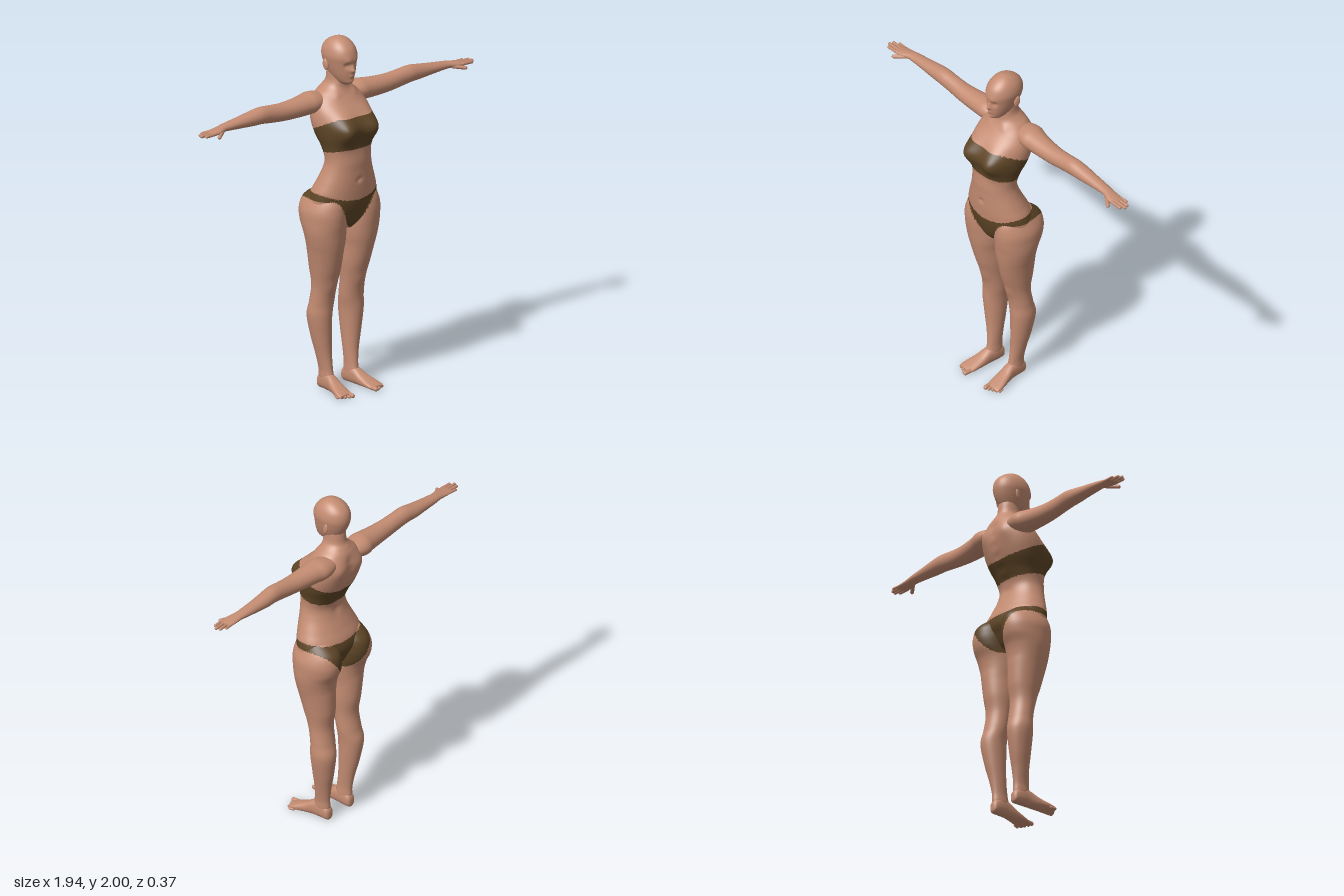
import * as THREE from 'three';

const skin = new THREE.MeshStandardMaterial({ color: 0xc48c72 });
skin.name = 'skin';
const cloth = new THREE.MeshStandardMaterial({ color: 0x5e4526 });
cloth.name = 'brownCloth';

const spline = (a, b, c, d, t) =>
  b + 0.5 * t * (c - a + t * (2 * a - 5 * b + 4 * c - d + t * (3 * (b - c) + d - a)));
const smooth = THREE.MathUtils.smoothstep;

// Smooth closed skin through oval sections [t, centreU, centreV, radiusU, radiusV].
// place(t, u, v) sets the axes; bumps [x, y, z, radius, dx, dy, dz] push the surface softly;
// isCloth(point) picks the faces that take the cloth colour.
function loft(name, rows, place, { segs = 48, steps = 8, power = 2, bumps = [], isCloth } = {}) {
  const pts = [], total = (rows.length - 1) * steps, p = new THREE.Vector3(), c = new THREE.Vector3();
  const bend = (k) => Math.sign(k) * Math.abs(k) ** (2 / power);
  for (let i = 0; i <= total; i++) {
    const k = Math.min(Math.floor(i / steps), rows.length - 2), f = i / steps - k;
    const at = (n) => rows[THREE.MathUtils.clamp(n, 0, rows.length - 1)];
    const [t, cu, cv, ru, rv] = rows[k].map((_, j) =>
      spline(at(k - 1)[j], at(k)[j], at(k + 1)[j], at(k + 2)[j], f));
    const open = i === 0 || i === total ? 0 : 1;
    for (let j = 0; j < segs; j++) {
      const a = (j / segs) * Math.PI * 2;
      p.set(...place(t, cu + open * ru * bend(Math.cos(a)), cv + open * rv * bend(Math.sin(a))));
      c.copy(p);
      for (const [x, y, z, r, dx, dy, dz] of bumps) {
        const w = Math.exp(-((c.x - x) ** 2 + (c.y - y) ** 2 + (c.z - z) ** 2) / (r * r));
        p.x += dx * w; p.y += dy * w; p.z += dz * w;
      }
      pts.push(p.clone());
    }
  }
  const faces = [];
  let volume = 0;
  for (let i = 0; i < total; i++) for (let j = 0; j < segs; j++) {
    const a = i * segs + j, b = i * segs + (j + 1) % segs;
    for (const f of [[a, a + segs, b], [b, a + segs, b + segs]]) {
      faces.push(f);
      volume += pts[f[0]].dot(c.crossVectors(pts[f[1]], pts[f[2]]));
    }
  }
  const bare = [], dressed = [];
  for (const f of faces) {
    if (volume < 0) f.reverse();
    c.copy(pts[f[0]]).add(pts[f[1]]).add(pts[f[2]]).divideScalar(3);
    (isCloth && isCloth(c) ? dressed : bare).push(...f);
  }
  const geo = new THREE.BufferGeometry().setFromPoints(pts);
  geo.setIndex([...bare, ...dressed]);
  geo.addGroup(0, bare.length, 0);
  geo.addGroup(bare.length, dressed.length, 1);
  geo.computeVertexNormals();
  const mesh = new THREE.Mesh(geo, isCloth ? [skin, cloth] : skin);
  mesh.name = name;
  return mesh;
}

// Rounded finger or toe between two points
function digit(name, a, b, r) {
  const from = new THREE.Vector3(...a), dir = new THREE.Vector3(...b).sub(from);
  const mesh = new THREE.Mesh(new THREE.CapsuleGeometry(r, dir.length() - r, 5, 12), skin);
  mesh.position.copy(from).addScaledVector(dir, 0.5);
  mesh.quaternion.setFromUnitVectors(new THREE.Vector3(0, 1, 0), dir.normalize());
  mesh.name = name;
  return mesh;
}

// Upright section [y, centreX, radiusX, frontZ, backZ] to loft row
const upright = ([y, cx, rx, f, b]) => [y, cx, (f + b) / 2, rx, (f - b) / 2];
const both = (x, y, z, r, dx, dy, dz) => [[x, y, z, r, dx, dy, dz], [-x, y, z, r, -dx, dy, dz]];

// Edges of the bandeau top and of the briefs
function clothed({ x, y, z }) {
  const w = Math.abs(x);
  if (y > 1.3) return y < Math.min(1.578, 1.53 + 0.5 * z) && y > 1.375 + 0.2 * z;
  const front = z > -0.02;
  const top = (front ? 1.105 : 1.13) + (front ? 0.045 : 0.02) * Math.min(1, (w / 0.2) ** 2);
  const low = 0.93 + 0.18 * (front ? smooth(w, 0, 0.15) : smooth(w, 0.02, 0.21));
  return y < top && y > low;
}

const torsoRows = [
  [0.925, 0, 0.03, 0.05, -0.05], [0.97, 0, 0.09, 0.088, -0.1], [1.03, 0, 0.175, 0.107, -0.13],
  [1.08, 0, 0.208, 0.118, -0.148], [1.14, 0, 0.202, 0.125, -0.138], [1.2, 0, 0.178, 0.129, -0.11],
  [1.27, 0, 0.15, 0.131, -0.08], [1.33, 0, 0.137, 0.133, -0.072], [1.4, 0, 0.145, 0.125, -0.1],
  [1.47, 0, 0.165, 0.11, -0.138], [1.54, 0, 0.175, 0.1, -0.165], [1.6, 0, 0.17, 0.083, -0.174],
  [1.65, 0, 0.15, 0.05, -0.17], [1.69, 0, 0.115, 0.022, -0.158], [1.72, 0, 0.078, 0.01, -0.142],
  [1.75, 0, 0.058, 0.008, -0.125], [1.8, 0, 0.053, 0, -0.118], [1.84, 0, 0.05, -0.01, -0.11]];
const headRows = [
  [1.738, 0, 0.018, 0.03, -0.03], [1.755, 0, 0.036, 0.055, -0.06], [1.785, 0, 0.053, 0.065, -0.1],
  [1.82, 0, 0.066, 0.069, -0.125], [1.86, 0, 0.077, 0.071, -0.143], [1.9, 0, 0.084, 0.073, -0.15],
  [1.94, 0, 0.077, 0.059, -0.141], [1.97, 0, 0.06, 0.032, -0.115], [1.99, 0, 0.036, 0, -0.078],
  [2, 0, 0.005, -0.03, -0.04]];
const legRows = [
  [1.16, 0.11, 0.07, 0.06, -0.09], [1.1, 0.115, 0.095, 0.1, -0.168], [1.04, 0.12, 0.112, 0.11, -0.186],
  [0.98, 0.12, 0.114, 0.108, -0.178], [0.92, 0.117, 0.113, 0.1, -0.15], [0.86, 0.113, 0.105, 0.092, -0.137],
  [0.8, 0.11, 0.094, 0.08, -0.135], [0.7, 0.103, 0.083, 0.055, -0.13], [0.6, 0.101, 0.071, 0.022, -0.116],
  [0.5, 0.105, 0.07, 0.003, -0.13], [0.42, 0.112, 0.067, 0, -0.147], [0.3, 0.105, 0.054, -0.005, -0.13],
  [0.2, 0.096, 0.041, -0.007, -0.108], [0.12, 0.09, 0.032, 0, -0.096], [0.07, 0.088, 0.032, 0.008, -0.096],
  [0.03, 0.088, 0.025, 0, -0.085]];
// Arm and palm: [x, z, y, radiusZ, radiusY]
const armRows = [
  [0.06, -0.09, 1.65, 0.05, 0.03], [0.12, -0.09, 1.645, 0.07, 0.05], [0.17, -0.088, 1.643, 0.076, 0.059],
  [0.22, -0.083, 1.64, 0.067, 0.057], [0.3, -0.079, 1.637, 0.058, 0.053], [0.38, -0.077, 1.638, 0.051, 0.05],
  [0.46, -0.077, 1.645, 0.046, 0.049], [0.53, -0.077, 1.652, 0.046, 0.047], [0.6, -0.08, 1.648, 0.044, 0.041],
  [0.68, -0.08, 1.645, 0.038, 0.032], [0.76, -0.079, 1.643, 0.033, 0.024], [0.8, -0.076, 1.642, 0.031, 0.02],
  [0.84, -0.07, 1.638, 0.036, 0.017], [0.88, -0.068, 1.635, 0.038, 0.013], [0.905, -0.068, 1.634, 0.032, 0.008]];
// Foot: [z, x, y, radiusX, radiusY]
const footRows = [
  [-0.104, 0.087, 0.032, 0.012, 0.018], [-0.092, 0.087, 0.038, 0.027, 0.037], [-0.05, 0.088, 0.05, 0.033, 0.05],
  [0, 0.091, 0.046, 0.034, 0.046], [0.05, 0.098, 0.032, 0.04, 0.032], [0.1, 0.107, 0.021, 0.046, 0.021],
  [0.135, 0.112, 0.014, 0.045, 0.014], [0.15, 0.114, 0.011, 0.038, 0.009]];

export function createModel() {
  const body = new THREE.Group();
  body.name = 'figure';
  const vertical = (t, u, v) => [u, t, v];

  // Torso with bust, shoulder blades, collar bones, navel and spine groove
  const spine = [1.3, 1.36, 1.42, 1.48, 1.54, 1.6, 1.65].map((y) => [0, y, -0.08 - 0.09 * smooth(y, 1.3, 1.55), 0.03, 0, 0, 0.007]);
  body.add(loft('torso', torsoRows.map(upright), vertical, {
    segs: 96, steps: 10, power: 2.1, isCloth: clothed,
    bumps: [...both(0.085, 1.51, 0.09, 0.08, 0.012, 0, 0.077), ...both(0.09, 1.61, -0.165, 0.05, 0, 0, -0.014),
      ...both(0.06, 1.685, 0.01, 0.025, 0, 0, 0.006), [0, 1.22, 0.13, 0.014, 0, 0, -0.01], ...spine] }));

  // Head with nose, brow, eye sockets, lips and chin
  body.add(loft('head', headRows.map(upright), vertical, {
    segs: 96, steps: 9, power: 2.1,
    bumps: [[0, 1.828, 0.07, 0.013, 0, 0, 0.019], [0, 1.848, 0.07, 0.011, 0, 0, 0.009],
      ...both(0.03, 1.857, 0.063, 0.017, 0, 0, -0.011), ...both(0.025, 1.88, 0.066, 0.02, 0, 0, 0.005),
      [0, 1.795, 0.067, 0.015, 0, 0, 0.007], [0, 1.78, 0.066, 0.01, 0, 0, -0.004], [0, 1.758, 0.056, 0.02, 0, 0, 0.008]] }));

  for (const s of [1, -1]) {
    const side = s > 0 ? 'left' : 'right';
    const ear = new THREE.Mesh(new THREE.SphereGeometry(1, 16, 12), skin);
    ear.name = side + 'Ear';
    ear.scale.set(0.008, 0.032, 0.018);
    ear.position.set(s * 0.08, 1.848, -0.06);
    ear.rotation.set(-0.2, -s * 0.25, 0);
    body.add(ear);

    // Leg with knee cap
    body.add(loft(side + 'Leg', legRows.map(upright), (t, u, v) => [s * u, t, v], {
      segs: 60, steps: 10, isCloth: clothed, bumps: [[s * 0.1, 0.6, 0.02, 0.04, 0, 0, 0.006]] }));

    // Foot and toes
    body.add(loft(side + 'Foot', footRows, (t, u, v) => [s * u, v, t], { segs: 32, power: 2.4 }));
    for (let i = 0; i < 5; i++) {
      const r = i ? 0.009 - i * 0.0006 : 0.0125;
      body.add(digit(side + 'Toe', [s * (0.08 + i * 0.0178), r + 0.002, 0.125 - i * 0.005],
        [s * (0.084 + i * 0.0185), r, 0.178 - i * 0.011 - (i ? 0 : 0.004)], r));
    }

    // Arm, fingers and thumb
    body.add(loft(side + 'Arm', armRows, (t, u, v) => [s * t, v, u], { segs: 40, steps: 7 }));
    [[-0.038, 0.948], [-0.058, 0.966], [-0.079, 0.958], [-0.098, 0.93]].forEach(([z, tip], i) =>
      body.add(digit(side + 'Finger', [s * 0.875, 1.636, z], [s * tip, 1.634, z * 1.04], i === 3 ? 0.0075 : 0.009)));
    body.add(digit(side + 'Thumb', [s * 0.815, 1.633, -0.055], [s * 0.88, 1.621, -0.01], 0.0105));
  }
  return body;
}
